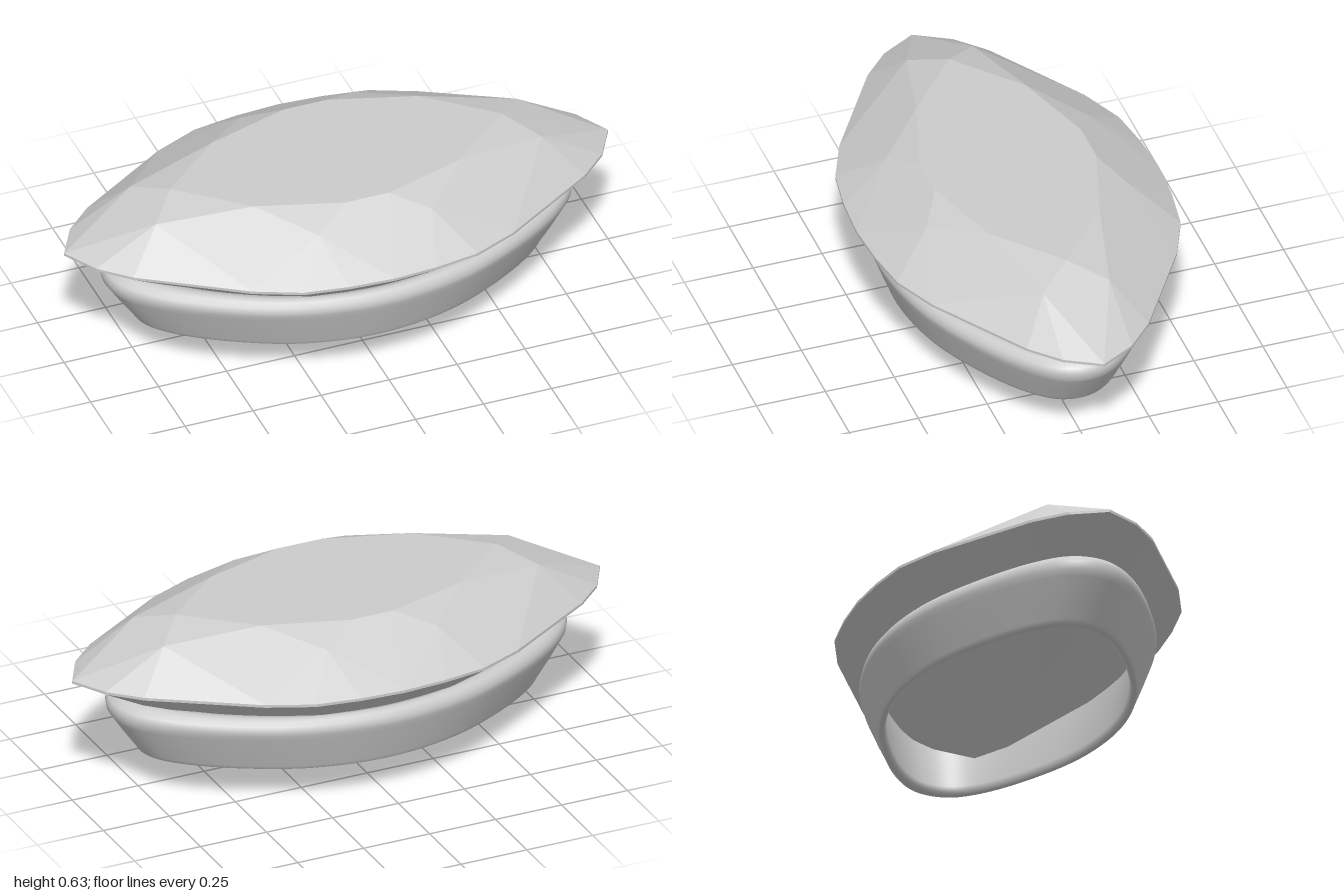
import * as THREE from 'three';
import { ConvexGeometry } from 'three/addons/geometries/ConvexGeometry.js';

const grey = (extra) => new THREE.MeshStandardMaterial({ color: 0xcccccc, ...extra });

// Repeat points [x, y, z] of one quarter across x and z, without duplicates
function mirrorQuarter(points) {
  const unique = new Map();
  for (const [x, y, z] of points)
    for (const sx of [1, -1])
      for (const sz of [1, -1]) {
        const p = new THREE.Vector3(x ? x * sx : 0, y, z ? z * sz : 0);
        unique.set(p.toArray().join(), p);
      }
  return [...unique.values()];
}

// Marquise brilliant: table, star facet tips, thin girdle, keel and culet
function createGem() {
  const girdle = [
    [1, 0], [0.93, 0.125], [0.83, 0.22], [0.62, 0.355],
    [0.48, 0.445], [0.32, 0.515], [0.16, 0.54], [0, 0.55],
  ];
  const quarter = [
    [0.61, 0.63, 0], [0.38, 0.63, 0.2], [0.08, 0.63, 0.293],
    [0.71, 0.586, 0.12], [0.21, 0.578, 0.37],
    ...girdle.flatMap(([x, z]) => [[x, 0.46, z], [x, 0.45, z]]),
    [0.33, 0.1, 0], [0, 0, 0],
  ];
  const gem = new THREE.Mesh(new ConvexGeometry(mirrorQuarter(quarter)), grey({ flatShading: true }));
  gem.name = 'gem';
  return gem;
}

// Flared open setting: a closed wall section swept round a rounded marquise outline
function createSetting() {
  const q = [[0.855, 0], [0.835, 0.085], [0.75, 0.185], [0.55, 0.32], [0.3, 0.43], [0, 0.475]];
  const half = [...q, ...q.slice(0, -1).reverse().map(([x, z]) => [-x, z])];
  const loop = [...half, ...half.slice(1, -1).reverse().map(([x, z]) => [x, -z])];
  const outline = new THREE.CatmullRomCurve3(loop.map(([x, z]) => new THREE.Vector3(x, 0, z)), true);

  // Wall section: [outline scale, height], from the inner foot outwards and back
  const section = [
    [0.825, 0.14], [0.84, 0.134], [0.86, 0.134], [0.872, 0.138], [0.88, 0.15],
    [0.93, 0.21], [0.98, 0.275], [0.995, 0.295], [1, 0.31], [0.99, 0.328],
    [0.965, 0.343], [0.93, 0.349], [0.89, 0.346], [0.865, 0.33], [0.82, 0.16],
  ];
  const steps = 160, n = section.length;
  const positions = [], indices = [];
  for (let i = 0; i < steps; i++) {
    const p = outline.getPoint(i / steps);
    for (const [s, y] of section) {
      // The rim lifts slightly towards both tips
      const lift = y > 0.3 ? 0.012 * Math.pow(Math.abs(p.x) / 0.855, 4) : 0;
      positions.push(p.x * s, y + lift, p.z * s);
    }
    for (let j = 0; j < n; j++) {
      const a = i * n + j, b = i * n + (j + 1) % n;
      const next = ((i + 1) % steps) * n;
      const c = next + j, d = next + (j + 1) % n;
      indices.push(a, b, c, b, d, c);
    }
  }
  const geometry = new THREE.BufferGeometry();
  geometry.setAttribute('position', new THREE.Float32BufferAttribute(positions, 3));
  geometry.setIndex(indices);
  geometry.computeVertexNormals();
  const setting = new THREE.Mesh(geometry, grey());
  setting.name = 'setting';
  return setting;
}

export function createModel() {
  const model = new THREE.Group();
  model.name = 'marquiseGem';
  model.add(createGem(), createSetting());
  return model;
}
